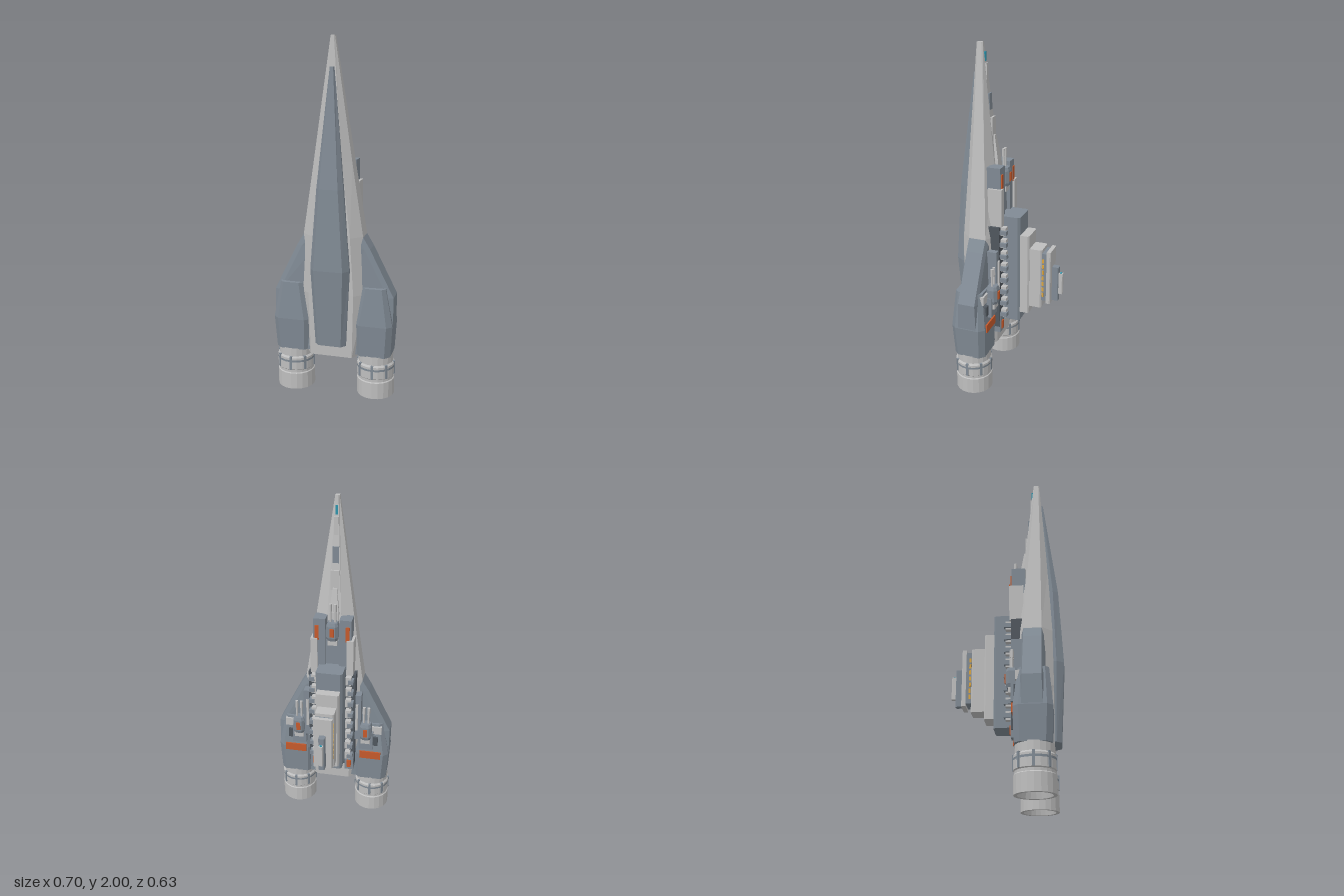
import * as THREE from 'three';

const mat = (name, color) => Object.assign(new THREE.MeshStandardMaterial({ color }), { name });

export function createModel() {
  const root = new THREE.Group();
  root.name = 'spaceship';
  const light = mat('light grey', 0xbebebe);
  const blue = mat('blue grey', 0x808a94);
  const dark = mat('dark grey', 0x50575e);
  const orange = mat('orange', 0xc65a2c);
  const teal = mat('teal', 0x2e93ab);
  const yellow = mat('window yellow', 0xd9a441);

  // Faceted mesh with one normal per face
  const add = (name, geo, material) => {
    const g = geo.index ? geo.toNonIndexed() : geo;
    g.computeVertexNormals();
    const mesh = new THREE.Mesh(g, material);
    mesh.name = name;
    root.add(mesh);
    return mesh;
  };

  // Box from its limits
  const box = (name, m, x0, x1, y0, y1, z0, z1) =>
    add(name, new THREE.BoxGeometry(Math.abs(x1 - x0), y1 - y0, z1 - z0)
      .translate((x0 + x1) / 2, (y0 + y1) / 2, (z0 + z1) / 2), m);

  // Skin over horizontal rings [y, [[x, z], ...]], rings ordered front -> +x -> back
  const loft = (name, m, sections) => {
    const pos = [];
    const at = (s, i) => {
      const [y, ring] = sections[s];
      const [x, z] = ring[i % ring.length];
      return [x, y, z];
    };
    const n = sections[0][1].length, top = sections.length - 1;
    for (let s = 0; s < top; s++) for (let i = 0; i < n; i++) {
      const a = at(s, i), b = at(s, i + 1), c = at(s + 1, i + 1), d = at(s + 1, i);
      pos.push(...a, ...b, ...c, ...a, ...c, ...d);
    }
    for (let i = 1; i < n - 1; i++) {
      pos.push(...at(top, 0), ...at(top, i), ...at(top, i + 1));
      pos.push(...at(0, 0), ...at(0, i + 1), ...at(0, i));
    }
    const g = new THREE.BufferGeometry();
    g.setAttribute('position', new THREE.Float32BufferAttribute(pos, 3));
    return add(name, g, m);
  };
  const sym = half => [...half, ...half.map(([x, z]) => [-x, z]).reverse()];
  const side = (ring, s) => s > 0 ? ring : ring.map(([x, z]) => [-x, z]).reverse();

  // Rectangle ring with cut corners
  const cut = (x0, x1, z0, z1, c) => [
    [x0 + c, z1], [x1 - c, z1], [x1, z1 - c], [x1, z0 + c],
    [x1 - c, z0], [x0 + c, z0], [x0, z0 + c], [x0, z1 - c]];

  // Main hull: y, front width/z, middle width and z range, back width/z
  loft('hull', light, [
    [0.23, 0.12, 0.25, 0.15, 0.2, 0.1, 0.10, 0.06],
    [0.60, 0.13, 0.258, 0.19, 0.2, 0.1, 0.12, 0.045],
    [0.93, 0.11, 0.258, 0.17, 0.2, 0.1, 0.10, 0.055],
    [1.34, 0.06, 0.24, 0.108, 0.2, 0.125, 0.04, 0.092],
    [2.00, 0.007, 0.2, 0.012, 0.194, 0.172, 0.007, 0.165],
  ].map(([y, fw, fz, mw, m1, m0, bw, bz]) => [y, sym([[fw, fz], [mw, m1], [mw, m0], [bw, bz]])]));

  // Front keel: y, edge width/z, face width/z
  loft('keel', blue, [
    [0.305, 0.088, 0.262, 0.066, 0.288],
    [0.75, 0.111, 0.275, 0.082, 0.316],
    [1.20, 0.075, 0.266, 0.052, 0.296],
    [1.84, 0.014, 0.207, 0.008, 0.22],
  ].map(([y, w, z, fw, fz]) => [y, sym([[fw, fz], [w, z], [w, 0.19]])]));

  // Dorsal spine steps and nose light
  box('spineStep', light, -0.012, 0.012, 1.73, 1.89, 0.142, 0.165);
  box('spineStep', blue, -0.018, 0.018, 1.6, 1.73, 0.125, 0.155);
  box('spineStep', light, -0.025, 0.025, 1.44, 1.6, 0.108, 0.15);
  box('noseLight', teal, -0.006, 0.006, 1.9, 1.95, 0.151, 0.159);

  // Stacked rear superstructure: half width, y range, z range
  [
    [blue, 0.078, 0.39, 1.05, -0.073, 0.06, 0.012],
    [light, 0.067, 0.445, 0.94, -0.126, -0.07, 0.008],
    [light, 0.055, 0.49, 0.86, -0.2, -0.12, 0.008],
    [blue, 0.051, 0.54, 0.84, -0.231, -0.2, 0.003],
    [light, 0.055, 0.525, 0.855, -0.253, -0.229, 0.005],
    [blue, 0.018, 0.535, 0.75, -0.291, -0.253, 0.005],
    [light, 0.012, 0.58, 0.71, -0.315, -0.291, 0.004],
  ].forEach(([m, w, y0, y1, z0, z1, c]) => {
    const ring = sym([[w, z1], [w, z0 + c], [w - c, z0]]);
    loft('towerDeck', m, [[y0, ring], [y1, ring]]);
  });
  box('beaconLight', teal, -0.007, 0.007, 0.71, 0.714, -0.307, -0.297);

  // Gun turret with twin barrels and an orange rear plate
  const turret = (x, y, z0) => {
    const r = k => cut(x - 0.035 * k, x + 0.035 * k, z0 + 0.035 - 0.033 * k, z0 + 0.035 + 0.034 * k, 0.015 * k);
    loft('turret', blue, [[y - 0.05, r(0.8)], [y - 0.03, r(1)], [y + 0.04, r(1)], [y + 0.06, r(0.8)]]);
    box('turretMount', light, x - 0.028, x + 0.028, y - 0.08, y - 0.05, z0 + 0.015, z0 + 0.08);
    box('turretPlate', orange, x - 0.012, x + 0.012, y - 0.02, y + 0.03, z0 - 0.004, z0 + 0.004);
    for (const d of [-0.014, 0.014]) {
      add('barrel', new THREE.CylinderGeometry(0.006, 0.006, 0.12, 8).translate(x + d, y + 0.1, z0 + 0.035), light);
      add('muzzle', new THREE.CylinderGeometry(0.009, 0.009, 0.045, 8).translate(x + d, y + 0.145, z0 + 0.035), light);
    }
  };
  turret(0, 1.26, 0.012);
  box('spineTurretBase', blue, -0.04, 0.04, 1.0, 1.2, 0.05, 0.12);
  loft('spineFairing', light, [
    [1.2, sym([[0.03, 0.13], [0.03, 0.07]])],
    [1.36, sym([[0.028, 0.13], [0.028, 0.076]])],
    [1.5, sym([[0.012, 0.14], [0.012, 0.1]])]]);

  for (const s of [1, -1]) {
    // Side pod that sweeps out of the hull
    loft('sidePod', blue, [
      [0.245, 0.334, 0.21, 0.09], [0.42, 0.345, 0.205, 0.095], [0.59, 0.346, 0.2, 0.1],
      [0.86, 0.21, 0.2, 0.1], [0.93, 0.168, 0.2, 0.1],
    ].map(([y, x, z1, z0]) => [y, side([[0.1, z1 + 0.02], [x - 0.03, z1 + 0.01], [x, z1], [x, z0], [x - 0.03, z0 - 0.01], [0.1, z0 - 0.02]], s)]));

    // Engine nacelle below the pod
    loft('nacelle', blue, [
      [0.245, side(cut(0.135, 0.335, 0.055, 0.245, 0.03), s)],
      [0.43, side(cut(0.13, 0.346, 0.05, 0.255, 0.03), s)],
      [0.645, side(cut(0.175, 0.305, 0.075, 0.238, 0.02), s)]]);
    box('podStripe', orange, s * 0.17, s * 0.3, 0.405, 0.455, 0.043, 0.052);
    box('podTrim', light, s * 0.17, s * 0.3, 0.58, 0.63, 0.062, 0.09);
    box('podVent', dark, s * 0.25, s * 0.28, 0.5, 0.56, 0.053, 0.08);
    box('turretBase', blue, s * 0.165, s * 0.25, 0.48, 0.6, 0.035, 0.1);
    turret(s * 0.207, 0.61, 0.006);

    // Rear decks beside the superstructure
    box('rearDeck', blue, s * 0.04, s * 0.11, 1.03, 1.34, 0.03, 0.11);
    box('rearDeckPlate', orange, s * 0.078, s * 0.1, 1.21, 1.3, 0.024, 0.032);
    box('rearDeckFin', light, s * 0.085, s * 0.125, 1.0, 1.22, 0.018, 0.1);
    box('sideDeck', dark, s * 0.07, s * 0.14, 0.36, 1.0, 0.028, 0.1);
    box('outerDeck', blue, s * 0.14, s * 0.175, 0.55, 0.86, 0.032, 0.1);
    box('outerDeckRail', light, s * 0.143, s * 0.158, 0.62, 0.8, 0.022, 0.04);
    box('lowerDeck', blue, s * 0.08, s * 0.135, 0.32, 0.45, 0.026, 0.08);
    box('lowerDeckPlate', orange, s * 0.095, s * 0.12, 0.34, 0.39, 0.019, 0.027);

    // Row of rib blocks
    for (let i = 0; i < 8; i++) {
      const y = 0.42 + i * 0.075;
      box('ribBlock', light, s * 0.085, s * 0.118, y, y + 0.05, -0.004, 0.04);
      box('ribCap', blue, s * 0.1, s * 0.132, y + 0.01, y + 0.035, -0.012, 0.04);
    }

    // Lit windows on the bridge sides
    for (let i = 0; i < 7; i++) {
      const y = 0.565 + i * 0.036;
      box('window', yellow, s * 0.049, s * 0.054, y, y + 0.025, -0.213, -0.202);
    }

    // Engine nozzle, glow, dark bands and clamps
    const ex = s * 0.24, ez = 0.154;
    const profile = [[0.08, 0.05], [0.09, 0], [0.108, 0], [0.108, 0.095], [0.103, 0.1], [0.103, 0.115],
      [0.108, 0.12], [0.108, 0.19], [0.1, 0.2], [0.1, 0.25]].map(p => new THREE.Vector2(...p));
    add('engineNozzle', new THREE.LatheGeometry(profile, 20).translate(ex, 0, ez), light);
    add('engineGlow', new THREE.CircleGeometry(0.081, 20).rotateX(Math.PI / 2).translate(ex, 0.049, ez), teal);
    add('engineBand', new THREE.CylinderGeometry(0.1095, 0.1095, 0.012, 20, 1, true).translate(ex, 0.172, ez), blue);
    for (let i = 0; i < 8; i++) {
      add('engineClamp', new THREE.BoxGeometry(0.014, 0.08, 0.014).translate(0, 0.16, 0.104)
        .rotateY(i * Math.PI / 4).translate(ex, 0, ez), blue);
    }
  }
  return root;
}
